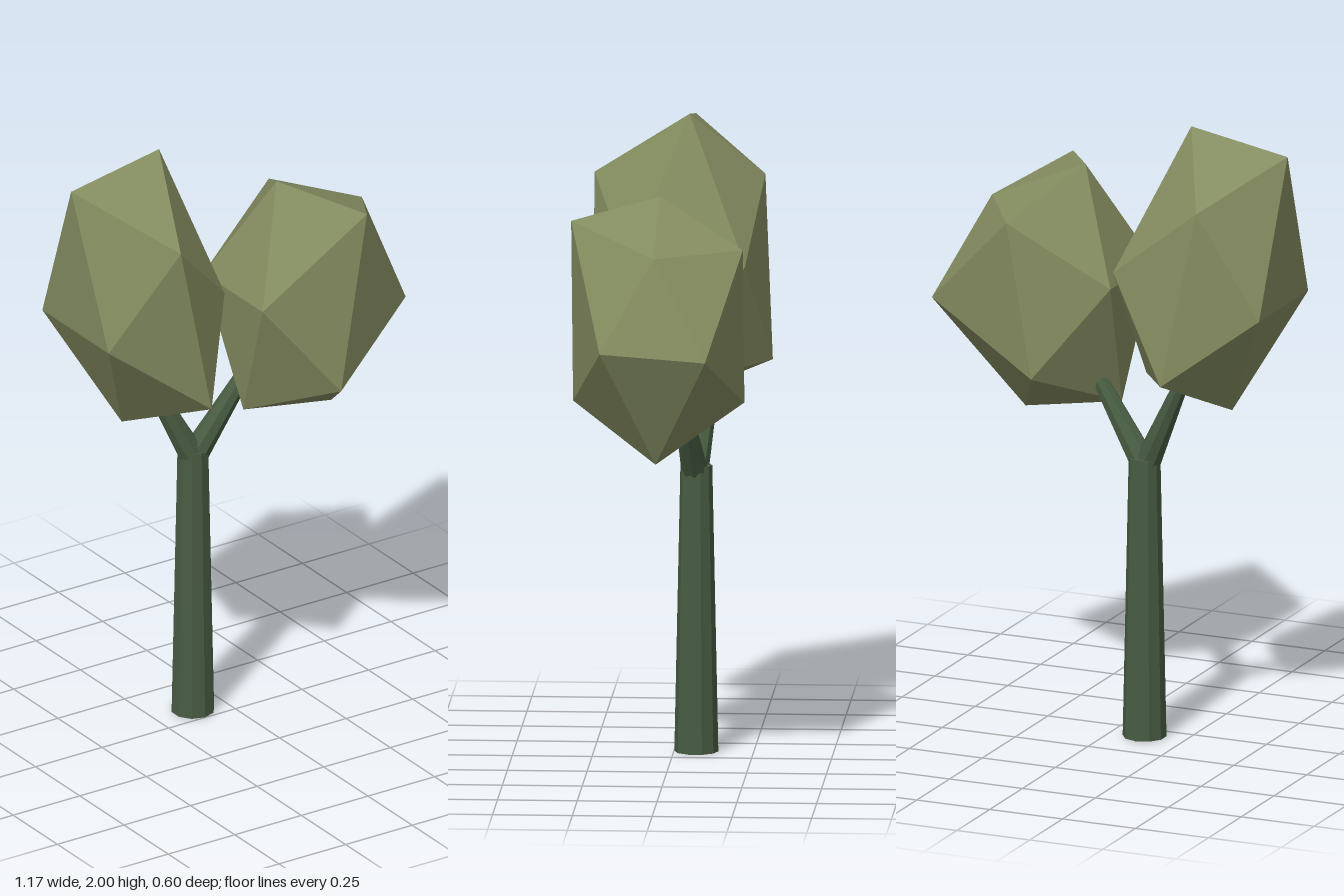
import * as THREE from 'three';
import { ConvexGeometry } from 'three/addons/geometries/ConvexGeometry.js';

const V = (p) => new THREE.Vector3(...p);

export function createModel() {
  const tree = new THREE.Group();
  tree.name = 'tree';
  const bark = new THREE.MeshStandardMaterial({ color: 0x485c42, flatShading: true });
  bark.name = 'dark green bark';
  const leaf = new THREE.MeshStandardMaterial({ color: 0x848c60, flatShading: true });
  leaf.name = 'olive leaves';

  const add = (name, geometry, material) => {
    const mesh = new THREE.Mesh(geometry, material);
    mesh.name = name;
    tree.add(mesh);
    return mesh;
  };

  // tapered limb running between two points
  const limb = (name, from, to, r0, r1, sides) => {
    const a = V(from), b = V(to), dir = b.clone().sub(a);
    const mesh = add(name, new THREE.CylinderGeometry(r1, r0, dir.length(), sides), bark);
    mesh.position.copy(a).add(b).multiplyScalar(0.5);
    mesh.quaternion.setFromUnitVectors(new THREE.Vector3(0, 1, 0), dir.normalize());
  };

  // trunk and its fork
  limb('trunk', [-0.113, 0, -0.07], [-0.113, 0.91, -0.07], 0.069, 0.05, 10);
  limb('rightBranch', [-0.125, 0.9, -0.067], [-0.25, 1.16, -0.11], 0.042, 0.025, 8);
  limb('leftBranch', [-0.1, 0.9, -0.065], [0.06, 1.14, -0.035], 0.042, 0.025, 8);

  // faceted crowns: stretched twelve-cornered blobs
  const crown = (name, corners) => add(name, new ConvexGeometry(corners.map(V)), leaf);
  crown('rightCrown', [
    [-0.59, 1.94, -0.04], [-0.26, 2.0, -0.04],
    [-0.38, 1.79, 0.265], [-0.38, 1.79, -0.27],
    [-0.075, 1.55, -0.225], [-0.14, 1.545, 0.15],
    [-0.575, 1.45, 0.15], [-0.575, 1.45, -0.225],
    [-0.265, 1.22, 0.265], [-0.27, 1.22, -0.3],
    [-0.097, 1.17, -0.02], [-0.4, 1.09, -0.04],
  ]);
  crown('leftCrown', [
    [0.135, 1.81, 0.03], [0.455, 1.67, 0.03],
    [0.297, 1.76, 0.297], [0.285, 1.67, -0.24],
    [-0.027, 1.465, 0.195], [-0.027, 1.465, -0.14],
    [0.51, 1.375, 0.195], [0.585, 1.365, -0.14],
    [0.2, 1.17, 0.297], [0.2, 1.17, -0.24],
    [0.01, 1.05, 0.03], [0.34, 0.995, 0.03],
  ]);

  return tree;
}
